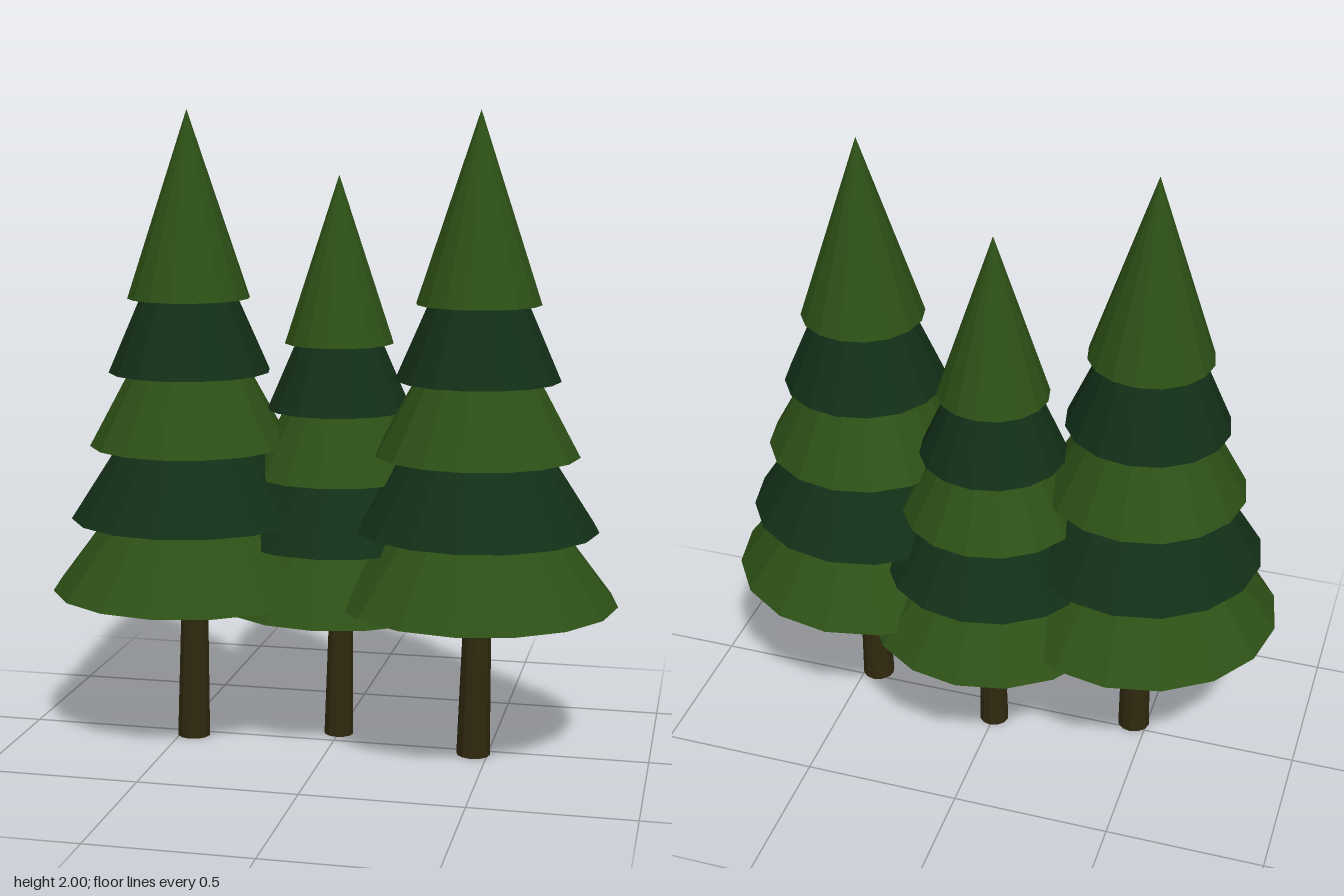
import * as THREE from 'three';

const mat = (name, color) => {
  const m = new THREE.MeshStandardMaterial({ color, flatShading: true });
  m.name = name;
  return m;
};

export function createModel() {
  const lightGreen = mat('lightNeedles', 0x2d5016);
  const darkGreen = mat('darkNeedles', 0x132f17);
  const brown = mat('bark', 0x30280f);

  const TIERS = 5;
  const TIER_HEIGHT = 0.58;

  function createTree(name, x, z, scale) {
    const tree = new THREE.Group();
    tree.name = name;

    // Tapered, slightly leaning trunk
    const trunk = new THREE.Mesh(new THREE.CylinderGeometry(0.042, 0.053, 0.53, 12), brown);
    trunk.name = 'trunk';
    trunk.position.set(0.004, 0.266, 0);
    trunk.rotation.z = -0.018;
    tree.add(trunk);

    // Stacked cones of foliage, alternating in colour
    for (let i = 0; i < TIERS; i++) {
      const cone = new THREE.ConeGeometry(0.44 - i * 0.062, TIER_HEIGHT, 16);
      const tier = new THREE.Mesh(cone, i % 2 ? darkGreen : lightGreen);
      tier.name = `foliageTier${i + 1}`;
      tier.position.y = 0.5 + i * 0.23 + TIER_HEIGHT / 2;
      tree.add(tier);
    }

    tree.position.set(x, 0, z);
    tree.scale.setScalar(scale);
    return tree;
  }

  // Two tall trees with a smaller one set back between them
  const model = new THREE.Group();
  model.name = 'pineTrees';
  model.add(
    createTree('rightTree', -0.456, 0.033, 1),
    createTree('middleTree', 0, -0.08, 0.9),
    createTree('leftTree', 0.456, 0.033, 1)
  );
  return model;
}
